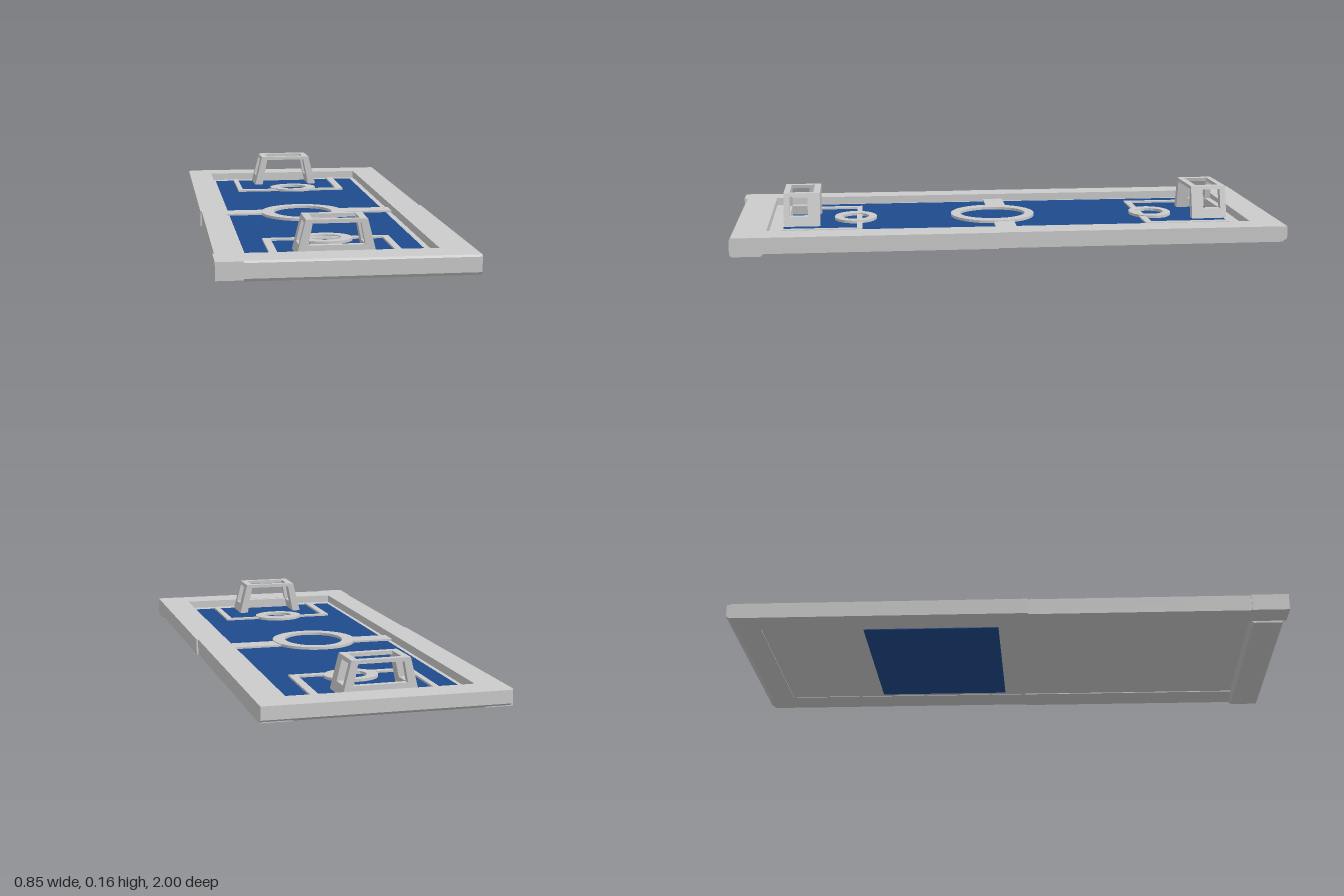
import * as THREE from 'three';

const grey = new THREE.MeshStandardMaterial({ color: 0xcccccc, flatShading: true });
const blue = new THREE.MeshStandardMaterial({ color: 0x1f4a8c, flatShading: true });
const FLOOR = 0.04;

// Box given by its limits on each axis
function block(name, x0, x1, y0, y1, z0, z1, material = grey) {
  const geo = new THREE.BoxGeometry(x1 - x0, y1 - y0, z1 - z0);
  geo.translate((x0 + x1) / 2, (y0 + y1) / 2, (z0 + z1) / 2);
  const mesh = new THREE.Mesh(geo, material);
  mesh.name = name;
  return mesh;
}

// Flat oval ring lying on the floor
function ring(name, x, z, rx, rz, ix, iz) {
  const shape = new THREE.Shape().absellipse(0, 0, rx, rz, 0, Math.PI * 2);
  shape.holes.push(new THREE.Path().absellipse(0, 0, ix, iz, 0, Math.PI * 2, true));
  const geo = new THREE.ExtrudeGeometry(shape, { depth: 0.012, bevelEnabled: false, curveSegments: 24 });
  geo.rotateX(-Math.PI / 2);
  const mesh = new THREE.Mesh(geo, grey);
  mesh.position.set(x, FLOOR - 0.002, z);
  mesh.name = name;
  return mesh;
}

// Goal cage that narrows towards the top; its mouth faces -z
function goal(name) {
  const g = new THREE.Group();
  g.name = name;
  const top = 0.16, bottom = FLOOR, w = 0.132, inner = 0.1;
  const bar = (label, ...limits) => {
    const mesh = block(label, ...limits);
    const p = mesh.geometry.attributes.position;
    for (let i = 0; i < p.count; i++) {
      p.setX(i, p.getX(i) * (1 - 1.9 * (p.getY(i) - bottom)));
    }
    mesh.geometry.computeVertexNormals();
    g.add(mesh);
  };
  for (const [a, b] of [[-w, -inner], [inner, w]]) {
    bar('mouthPost', a, b, bottom, top, -0.067, -0.022);
    bar('rearPost', a, b, bottom, top, 0.045, 0.067);
    bar('sideTopBar', a, b, 0.147, top, -0.022, 0.045);
    bar('sideBottomBar', a, b, bottom, 0.075, -0.022, 0.045);
  }
  bar('crossbar', -inner, inner, 0.147, top, -0.067, -0.043);
  bar('rearTopBar', -inner, inner, 0.147, top, 0.045, 0.067);
  bar('rearBottomBar', -inner, inner, bottom, 0.075, 0.045, 0.067);
  return g;
}

// End rail with a chamfered profile, run along x
function endRail(name, x0, x1, profile) {
  const shape = new THREE.Shape(profile.map(([z, y]) => new THREE.Vector2(-z, y)));
  const geo = new THREE.ExtrudeGeometry(shape, { depth: x1 - x0, bevelEnabled: false });
  geo.rotateY(Math.PI / 2);
  geo.translate(x0, 0, 0);
  const mesh = new THREE.Mesh(geo, grey);
  mesh.name = name;
  return mesh;
}

export function createModel() {
  const model = new THREE.Group();
  model.name = 'tabletopPitch';

  // Base plate and the coloured field halves
  model.add(
    block('basePlate', -0.38, 0.38, 0.012, 0.038, -0.95, 0.95),
    block('backField', -0.312, 0.288, 0.03, FLOOR, -0.845, -0.037, blue),
    block('frontField', -0.312, 0.288, 0.03, FLOOR, 0.04, 0.82, blue),
    block('undersidePanel', -0.312, 0.288, 0.009, 0.014, -0.52, -0.03, blue),
  );

  // Side rails, each in two lengths
  const rimTop = 0.067;
  model.add(
    block('leftBackRail', 0.31, 0.416, 0.01, rimTop, -0.985, 0.05),
    block('leftFrontRail', 0.31, 0.422, 0.009, rimTop, 0.05, 0.9),
    block('rightBackRail', -0.425, -0.33, 0.01, rimTop, -0.985, 0.08),
    block('rightFrontRail', -0.42, -0.33, 0.008, rimTop, 0.08, 0.88),
    block('rightFrontCorner', -0.425, -0.335, 0.007, rimTop, 0.87, 1),
  );

  // End rails with chamfered outer edges
  model.add(
    endRail('frontRail', -0.335, 0.422, [[0.87, 0.012], [0.885, 0], [0.985, 0], [0.992, 0.01],
      [0.992, 0.06], [0.987, rimTop], [0.87, rimTop]]),
    endRail('backRail', -0.416, 0.416, [[-0.89, 0.01], [-0.98, 0.01], [-1, 0.022],
      [-1, rimTop], [-0.89, rimTop]]),
  );

  // Raised field markings
  const y0 = 0.035, y1 = 0.047;
  model.add(
    block('halfwayLineRight', -0.33, -0.17, y0, y1, -0.037, 0.04),
    block('halfwayLineLeft', 0.11, 0.31, y0, y1, -0.037, 0.04),
    ring('centreCircle', -0.033, 0.03, 0.158, 0.16, 0.11, 0.125),
    ring('backSpot', 0, -0.58, 0.095, 0.08, 0.055, 0.052),
    ring('frontSpot', -0.02, 0.555, 0.095, 0.08, 0.055, 0.05),
    block('backAreaLine', -0.235, 0.208, y0, y1, -0.55, -0.525),
    block('backAreaRight', -0.235, -0.215, y0, y1, -0.845, -0.55),
    block('backAreaLeft', 0.18, 0.208, y0, y1, -0.845, -0.55),
    block('frontAreaLine', -0.235, 0.205, y0, y1, 0.53, 0.55),
    block('frontAreaRight', -0.235, -0.208, y0, y1, 0.55, 0.82),
    block('frontAreaLeft', 0.182, 0.205, y0, y1, 0.55, 0.82),
    block('centreDisc', -0.143, 0.077, 0.03, FLOOR, -0.037, 0.04, blue),
  );

  // A goal at each end, mouths facing the centre
  const frontGoal = goal('frontGoal');
  frontGoal.position.set(-0.018, 0, 0.753);
  const backGoal = goal('backGoal');
  backGoal.position.set(-0.018, 0, -0.786);
  backGoal.rotation.y = Math.PI + 0.03;
  model.add(frontGoal, backGoal);

  return model;
}
